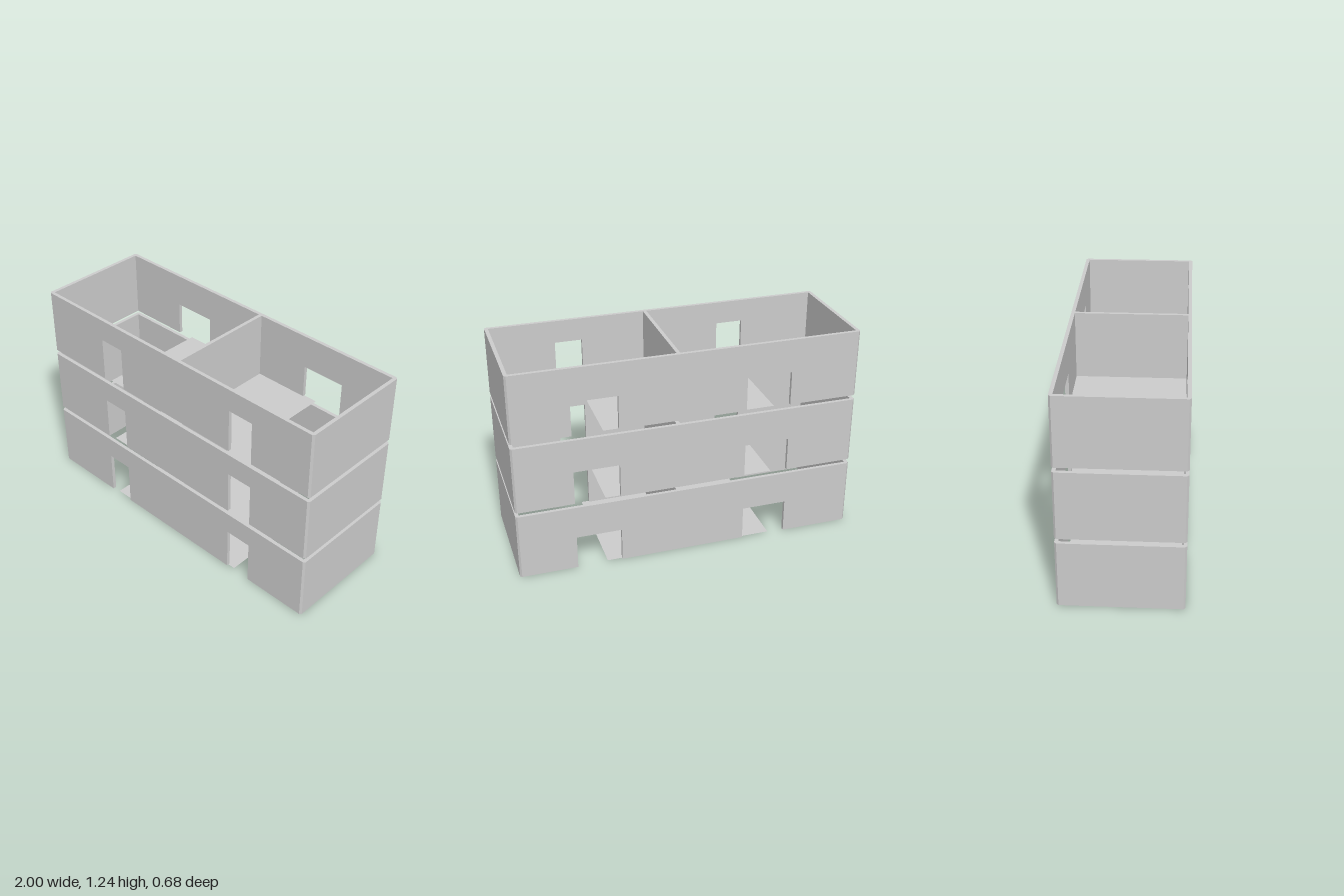
import * as THREE from 'three';

const W = 1, D = 0.342, H = 0.395, T = 0.021, C = 0.011; // half width, half depth, storey height, wall, corner chamfer
const STEP = 0.4225;

const material = new THREE.MeshStandardMaterial({ color: 0xcccccc, flatShading: true });
const floorMaterial = new THREE.MeshStandardMaterial({ color: 0xcccccc, side: THREE.DoubleSide });

function part(name, geometry, mat = material) {
  const mesh = new THREE.Mesh(geometry, mat);
  mesh.name = name;
  return mesh;
}

// Long wall with openings cut up from its bottom edge, starting at depth z
function longWall(name, openings, top, z) {
  const e = W - T;
  const s = new THREE.Shape();
  s.moveTo(-e, 0);
  for (const [a, b] of openings) {
    s.lineTo(a, 0);
    s.lineTo(a, top);
    s.lineTo(b, top);
    s.lineTo(b, 0);
  }
  s.lineTo(e, 0);
  s.lineTo(e, H);
  s.lineTo(-e, H);
  const g = new THREE.ExtrudeGeometry(s, { depth: T, bevelEnabled: false });
  g.translate(0, 0, z);
  return part(name, g);
}

// End wall with chamfered outer corners, raised from its plan
function endWall(name, side) {
  const pts = [[W - T, -D], [W - C, -D], [W, -D + C], [W, D - C], [W - C, D], [W - T, D]];
  const s = new THREE.Shape(pts.map(([x, z]) => new THREE.Vector2(x * side, z)));
  const g = new THREE.ExtrudeGeometry(s, { depth: H, bevelEnabled: false });
  g.rotateX(-Math.PI / 2);
  return part(name, g);
}

function createStorey() {
  const storey = new THREE.Group();
  storey.add(
    longWall('frontWall', [[-0.545, -0.385], [0.445, 0.605]], 0.263, D - T),
    longWall('backWall', [[-0.595, -0.332], [0.405, 0.667]], 0.2, -D),
    endWall('leftWall', 1),
    endWall('rightWall', -1)
  );

  // Cross wall between the two rooms
  const divider = part('dividerWall', new THREE.BoxGeometry(T, H, 2 * (D - T)));
  divider.position.set(0.064, H / 2, 0);
  storey.add(divider);

  // Thin floor sheet under the middle of the storey
  const floor = part('floor', new THREE.PlaneGeometry(0.99, 0.664), floorMaterial);
  floor.rotation.x = -Math.PI / 2;
  floor.position.set(-0.004, 0.001, 0);
  storey.add(floor);
  return storey;
}

export function createModel() {
  const model = new THREE.Group();
  model.name = 'building';
  ['groundStorey', 'middleStorey', 'topStorey'].forEach((name, i) => {
    const storey = createStorey();
    storey.name = name;
    storey.position.y = i * STEP;
    model.add(storey);
  });
  return model;
}
